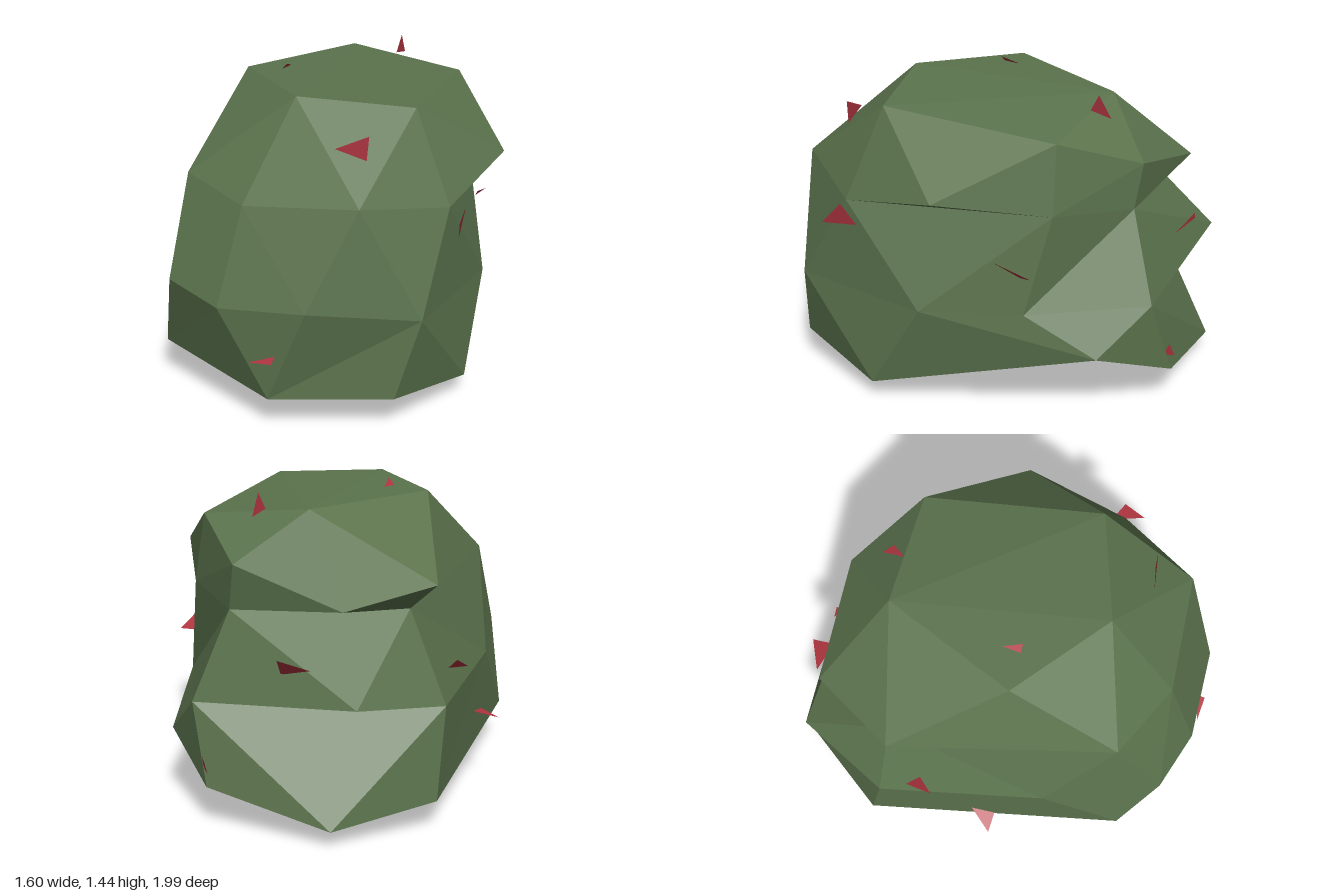
import * as THREE from 'three';

const green = new THREE.MeshStandardMaterial({ color: 0x5b734d, flatShading: true });
green.name = 'mossGreen';
const red = new THREE.MeshStandardMaterial({ color: 0xb03540, flatShading: true, side: THREE.DoubleSide });
red.name = 'leafRed';

// Corner points of each level, counter-clockwise from the right front
const base = [[0, 0, 0.35]];
const low = [
  [0.68, 0.09, 0.44], [0.64, 0.34, -0.61], [0.37, 0.19, -0.91], [-0.22, 0.08, -1],
  [-0.62, 0.14, -0.69], [-0.71, 0.2, 0.54], [-0.14, 0.16, 0.94], [0.41, 0.17, 0.86],
];
const mid = [
  [0.73, 0.52, 0.19], [0.66, 0.53, -0.28], [0.46, 0.55, -0.82], [-0.33, 0.63, -0.98], [-0.64, 0.56, -0.62],
  [-0.69, 0.58, 0.16], [-0.63, 0.6, 0.72], [-0.37, 0.56, 0.89], [0.04, 0.61, 0.99], [0.52, 0.54, 0.82],
];
const notch = [
  [0.6, 0.97, 0.56], [0.59, 0.99, -0.39], [0.32, 0.95, -0.7], [-0.46, 0.97, -0.55],
  [-0.59, 1.03, 0.49], [-0.28, 0.99, 0.75], [0.25, 1.05, 0.86],
];
const lip = [
  notch[0], [0.8, 1.08, 0.1], notch[1], [0.29, 1.16, -0.73], [-0.24, 1.02, -0.87],
  [-0.58, 1.08, -0.55], notch[4], notch[5], notch[6],
];
const top = [[0.43, 1.37, 0.43], [0.54, 1.31, -0.39], [0, 1.38, -0.53], [-0.42, 1.39, 0], [-0.1, 1.4, 0.45]];

// Spread the points of a level over the eleven columns
const ring = (points, columns) => [...columns].map((c) => points[c]);

// Each band joins two rings; 1 in its pattern turns the diagonal of that quad
const rings = [
  ring(base, '00000000000'),
  ring(low, '00123455667'),
  ring(mid, '00124456789'), // recess below the back ledge
  ring(mid, '00123456789'),
  ring(notch, '01123344566'), // undercut
  ring(lip, '01234566788'), // overhang
  ring(top, '00112233440'),
  ring(top, '22222222222'),
];
const flat = '00000000000';
const diagonals = [flat, '01010000001', flat, '00010100100', flat, flat, flat];

function triangles(list) {
  const geometry = new THREE.BufferGeometry();
  geometry.setAttribute('position', new THREE.Float32BufferAttribute(list.flat(2), 3));
  geometry.computeVertexNormals();
  return geometry;
}

function createBody() {
  const faces = [];
  const add = (a, b, c) => {
    if (a !== b && b !== c && c !== a) faces.push([a, b, c]);
  };
  diagonals.forEach((pattern, i) => {
    const lower = rings[i], upper = rings[i + 1];
    for (let j = 0; j < lower.length; j++) {
      const k = (j + 1) % lower.length;
      const a = lower[j], b = lower[k], c = upper[k], d = upper[j];
      if (pattern[j] === '1') {
        add(a, b, d);
        add(b, c, d);
      } else {
        add(a, b, c);
        add(a, c, d);
      }
    }
  });
  const body = new THREE.Mesh(triangles(faces), green);
  body.name = 'body';
  return body;
}

// Small pointed leaves standing off the surface
const leafCorners = [
  [[0.11, 1.24, 0.655], [0.26, 1.31, 0.67], [0.25, 1.2, 0.67]],
  [[-0.22, 0.34, 0.95], [-0.11, 0.36, 0.99], [-0.1, 0.38, 0.95]],
  [[0.65, 0.87, 0.66], [0.64, 0.87, 0.5], [0.67, 0.98, 0.56]],
  [[0.67, 0.78, -0.14], [0.7, 0.73, -0.32], [0.65, 0.71, -0.26]],
  [[0.24, 1.44, -0.51], [0.22, 1.36, -0.47], [0.25, 1.34, -0.57]],
  [[-0.22, 1.4, -0.03], [-0.25, 1.4, 0.05], [-0.22, 1.43, 0.06]],
  [[-0.66, 0.73, -0.48], [-0.61, 0.67, -0.42], [-0.69, 0.67, -0.37]],
  [[-0.8, 0.34, -0.1], [-0.69, 0.39, -0.18], [-0.71, 0.37, -0.07]],
  [[-0.11, 0.77, -0.92], [0.03, 0.81, -0.94], [0.04, 0.72, -0.85]],
  [[0.4, 0.27, -0.87], [0.39, 0.33, -0.9], [0.36, 0.26, -0.92]],
];

export function createModel() {
  const model = new THREE.Group();
  model.name = 'mossyBoulder';
  model.add(createBody());
  const leaves = new THREE.Group();
  leaves.name = 'leaves';
  for (const corners of leafCorners) {
    const leaf = new THREE.Mesh(triangles([corners]), red);
    leaf.name = 'leaf';
    leaves.add(leaf);
  }
  model.add(leaves);
  return model;
}
